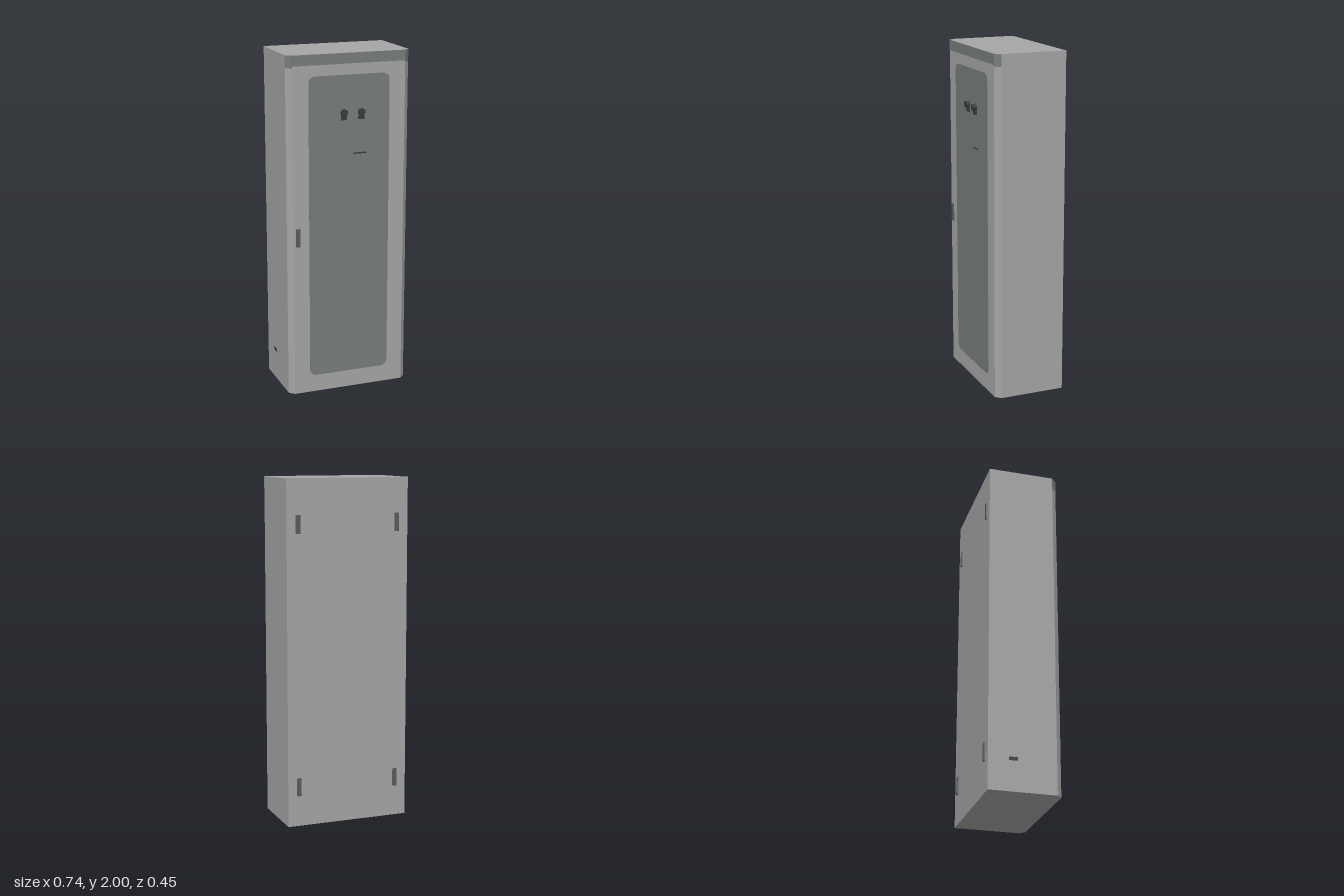
import * as THREE from 'three';

const material = (name, color, extra = {}) => {
  const m = new THREE.MeshStandardMaterial({ color, ...extra });
  m.name = name;
  return m;
};

// Polygon in plan, given as [x, z] points, raised to height h from y = 0
function planPrism(points, h) {
  const shape = new THREE.Shape(points.map(([x, z]) => new THREE.Vector2(x, -z)));
  return new THREE.ExtrudeGeometry(shape, { depth: h, bevelEnabled: false }).rotateX(-Math.PI / 2);
}

function roundedRect(w, h, r) {
  const x = w / 2, y = h / 2, s = new THREE.Shape();
  s.absarc(x - r, y - r, r, 0, Math.PI / 2);
  s.absarc(-x + r, y - r, r, Math.PI / 2, Math.PI);
  s.absarc(-x + r, -y + r, r, Math.PI, Math.PI * 1.5);
  s.absarc(x - r, -y + r, r, Math.PI * 1.5, Math.PI * 2);
  return s;
}

export function createModel() {
  const model = new THREE.Group();
  model.name = 'cabinet';
  const shell = material('shell grey', 0xa6a6a6);
  const trim = material('trim green grey', 0x787e7b);
  const metal = material('handle grey', 0x5a5c5b);
  const dark = material('knob dark grey', 0x3c3d3d);

  const add = (name, geometry, mat, x = 0, y = 0, z = 0, parent = model) => {
    const mesh = new THREE.Mesh(geometry, mat);
    mesh.name = name;
    mesh.position.set(x, y, z);
    parent.add(mesh);
    return mesh;
  };

  // Housing with chamfered front corners
  add('housing', planPrism([
    [-0.368, 0.17], [-0.338, 0.2], [0.338, 0.2], [0.368, 0.17], [0.368, -0.218], [-0.368, -0.218],
  ], 2), shell);

  // Dark band along the top of the front and its chamfers
  add('topBand', new THREE.BoxGeometry(0.676, 0.06, 0.002), trim, 0, 1.9695, 0.2);
  for (const side of [-1, 1]) {
    const corner = add('topBandCorner', new THREE.BoxGeometry(0.0424, 0.07, 0.002), trim,
      side * 0.353, 1.9645, 0.185);
    corner.rotation.y = side * Math.PI / 4;
  }

  // Door panel with rounded corners
  add('doorPanel', new THREE.ExtrudeGeometry(roundedRect(0.486, 1.776, 0.04),
    { depth: 0.002, bevelEnabled: false, curveSegments: 8 }), trim, 0, 0.99, 0.1995);

  // Slot on the door panel
  add('slot', new THREE.BoxGeometry(0.08, 0.008, 0.003), dark, 0.065, 1.427, 0.201);

  // Turning knobs with a block under each
  for (const x of [-0.035, 0.07]) {
    const knob = new THREE.Group();
    knob.name = 'knob';
    knob.position.set(x, 0, 0.2);
    model.add(knob);
    add('knobHead', new THREE.CylinderGeometry(0.019, 0.019, 0.024, 16).rotateX(Math.PI / 2),
      dark, 0, 1.666, 0.012, knob);
    add('knobBlock', new THREE.BoxGeometry(0.034, 0.034, 0.01), dark, 0, 1.64, 0.005, knob);
  }

  // Door handle, tapered towards its face
  const grip = planPrism([[-0.014, 0], [-0.01, 0.008], [0.01, 0.008], [0.014, 0]], 0.106);
  add('doorHandle', grip, metal, -0.31, 0.905, 0.2);

  // Four hinges on the back
  for (const x of [-0.3, 0.3]) {
    for (const y of [0.18, 1.692]) {
      add('backHinge', grip, metal, x, y, -0.218).rotation.y = Math.PI;
    }
  }

  // Small plate low on the side
  add('sidePlate', new THREE.BoxGeometry(0.002, 0.02, 0.05), dark, -0.368, 0.185, -0.075);

  return model;
}
